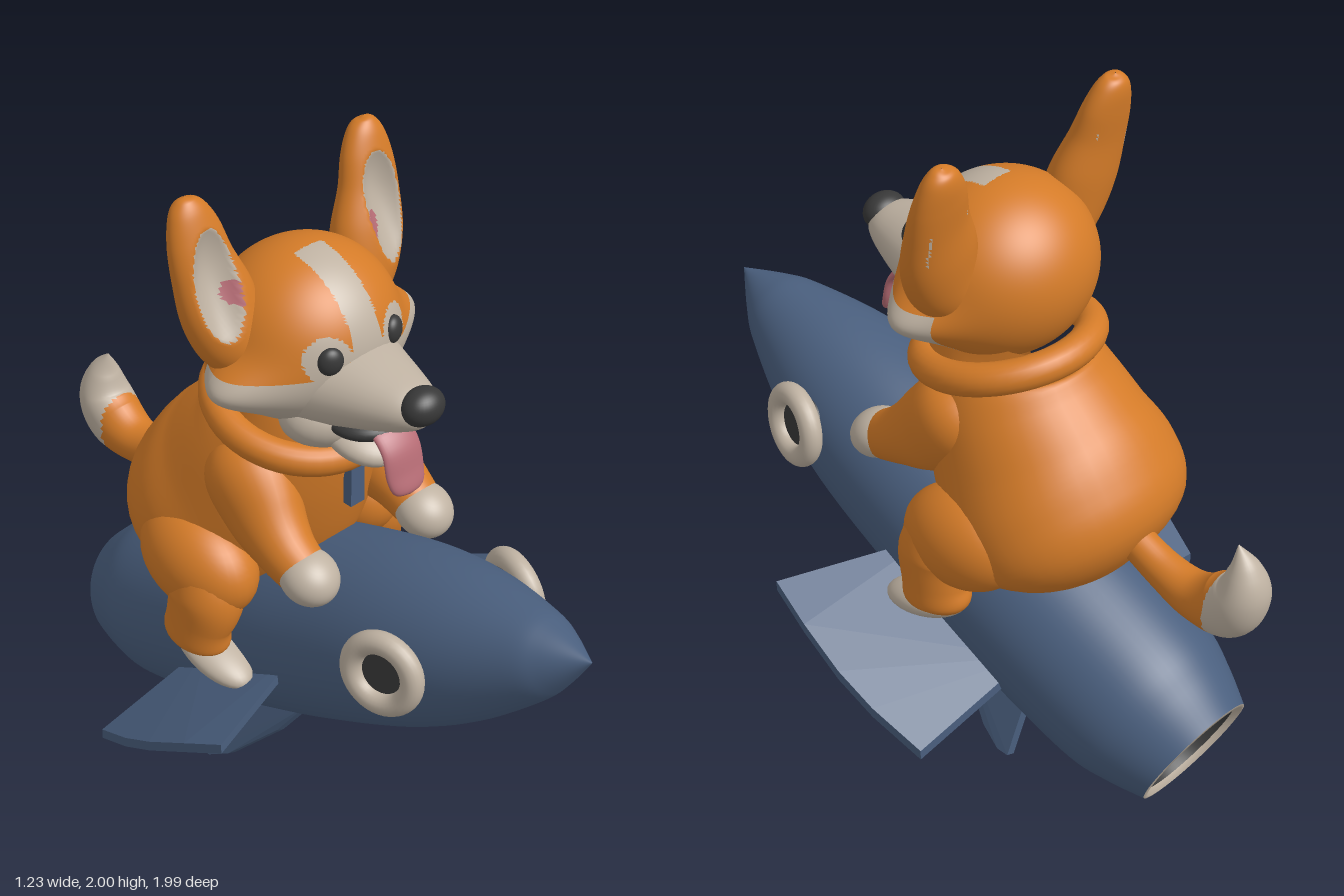
import * as THREE from 'three';
import { ConvexGeometry } from 'three/addons/geometries/ConvexGeometry.js';

const mat = (name, color) => Object.assign(new THREE.MeshStandardMaterial({ color }), { name });
const V = (x, y, z) => new THREE.Vector3(x, y, z);

// Smooth tube through sections [x, y, z, halfWidth, halfDepth]
function loft(sections, rings = 32, seg = 32) {
  const path = new THREE.CatmullRomCurve3(sections.map(s => V(s[0], s[1], s[2])), false, 'catmullrom');
  const size = new THREE.CatmullRomCurve3(sections.map(s => V(s[3], s[4], 0)), false, 'catmullrom');
  const pos = [], idx = [];
  for (let i = 0; i <= rings; i++) {
    const u = i / rings, c = path.getPoint(u), r = size.getPoint(u), t = path.getTangent(u);
    const across = V(1, 0, 0).addScaledVector(t, -t.x).normalize();
    const depth = t.clone().cross(across);
    for (let j = 0; j < seg; j++) {
      const a = j / seg * Math.PI * 2;
      const p = c.clone()
        .addScaledVector(across, Math.max(r.x, 0.001) * Math.cos(a))
        .addScaledVector(depth, Math.max(r.y, 0.001) * Math.sin(a));
      pos.push(p.x, p.y, p.z);
      if (i < rings) {
        const k = (j + 1) % seg, n = i * seg, m = n + seg;
        idx.push(n + j, n + k, m + j, n + k, m + k, m + j);
      }
    }
  }
  const g = new THREE.BufferGeometry();
  g.setAttribute('position', new THREE.Float32BufferAttribute(pos, 3));
  g.setIndex(idx);
  g.computeVertexNormals();
  return g;
}

// Moves every vertex by a rule
function warp(g, rule) {
  const p = g.attributes.position, v = V(0, 0, 0);
  for (let i = 0; i < p.count; i++) {
    rule(v.fromBufferAttribute(p, i));
    p.setXYZ(i, v.x, v.y, v.z);
  }
  g.computeVertexNormals();
  return g;
}

// Sorts faces into material groups by a rule on their centres
function paint(g, count, rule) {
  const p = g.attributes.position, old = g.index.array;
  const buckets = Array.from({ length: count }, () => []);
  for (let i = 0; i < old.length; i += 3) {
    const c = V(0, 0, 0);
    for (let k = 0; k < 3; k++) c.add(V(0, 0, 0).fromBufferAttribute(p, old[i + k]));
    buckets[rule(c.divideScalar(3))].push(old[i], old[i + 1], old[i + 2]);
  }
  g.setIndex(buckets.flat());
  let start = 0;
  buckets.forEach((b, i) => { g.addGroup(start, b.length, i); start += b.length; });
  return g;
}

export function createModel() {
  const root = new THREE.Group();
  const orange = mat('orange fur', 0xd47b28), cream = mat('cream', 0xbfb2a2);
  const blue = mat('rocket blue', 0x4a5f7e), dark = mat('charcoal', 0x383838);
  const pink = mat('pink', 0xb86d76);

  const add = (name, geo, material, parent = root) => {
    const m = new THREE.Mesh(geo, material);
    m.name = name;
    parent.add(m);
    return m;
  };
  const ball = (name, material, c, r, tilt = 0) => {
    const m = add(name, new THREE.SphereGeometry(1, 32, 24), material);
    m.position.set(...c);
    m.scale.set(...r);
    m.rotation.x = tilt;
    return m;
  };

  // Rocket hull, turned about its long axis with the nose at the top
  const rocket = new THREE.Group();
  rocket.name = 'rocket';
  rocket.position.set(0, 1, 1);
  rocket.rotation.x = Math.atan2(0.92, 0.391);
  root.add(rocket);
  const lathe = pts => new THREE.LatheGeometry(pts.map(([r, t]) => new THREE.Vector2(r, -t)), 64);
  const hullCurve = new THREE.SplineCurve([[0.19, 1.955], [0.232, 1.85], [0.265, 1.73], [0.28, 1.5], [0.284, 1.2],
    [0.28, 0.97], [0.258, 0.66], [0.21, 0.42], [0.13, 0.2], [0.08, 0.11], [0.001, 0]]
    .map(([r, t]) => new THREE.Vector2(r, -t)));
  add('hull', new THREE.LatheGeometry(hullCurve.getPoints(60), 64), blue, rocket);
  add('nozzleRim', lathe([[0.165, 1.94], [0.178, 1.957], [0.19, 1.955]]), cream, rocket);
  add('nozzleInside', lathe([[0.001, 1.75], [0.15, 1.75], [0.165, 1.94]]), dark, rocket);

  // Dog body, tail and collar
  add('body', loft([
    [0, 1.42, -0.13, 0.17, 0.17], [0, 1.3, -0.09, 0.21, 0.22], [0, 1.17, -0.12, 0.265, 0.255],
    [0, 1.02, -0.2, 0.31, 0.3], [0, 0.9, -0.29, 0.35, 0.31], [0, 0.8, -0.37, 0.33, 0.28],
    [0, 0.72, -0.42, 0.2, 0.14], [0, 0.68, -0.44, 0.001, 0.001]], 40, 40), orange);
  add('tail', paint(loft([
    [0, 0.87, -0.54, 0.05, 0.05], [0, 0.82, -0.66, 0.055, 0.055], [0, 0.8, -0.77, 0.068, 0.068],
    [0, 0.83, -0.87, 0.082, 0.09], [0, 0.9, -0.92, 0.08, 0.075], [0, 0.98, -0.92, 0.05, 0.045],
    [0, 1.05, -0.895, 0.001, 0.001]], 48), 2, c => c.z < -0.85 ? 1 : 0), [orange, cream]);
  const collar = add('collar', new THREE.TorusGeometry(0.228, 0.046, 20, 48), orange);
  collar.position.set(0, 1.285, -0.08);
  collar.rotation.x = Math.PI / 2 + 0.27;
  const tag = add('collarTag', new THREE.BoxGeometry(0.05, 0.13, 0.03), blue);
  tag.position.set(0, 1.12, 0.14);

  // Head: egg with flared cheek tufts, cream face, blaze and eye patches
  const head = warp(new THREE.SphereGeometry(1, 128, 96), v => {
    v.set(v.x * 0.27, 1.53 + v.y * 0.25, -0.055 + v.z * 0.25);
    v.x *= 1 + 0.38 * Math.exp(-(((v.y - 1.47) / 0.075) ** 2) - ((v.z / 0.13) ** 2));
  });
  add('head', paint(head, 2, c => {
    const x = Math.abs(c.x);
    const blaze = x < 0.05 && c.z > -0.04 && c.y > 1.5;
    const cheek = c.z > -0.1 && c.y < 1.52;
    const eyePatch = c.z > 0 && Math.hypot(x - 0.118, c.y - 1.57) < 0.062;
    return blaze || cheek || eyePatch ? 1 : 0;
  }), [orange, cream]);
  add('muzzle', loft([
    [0, 1.45, 0.06, 0.2, 0.14], [0, 1.455, 0.19, 0.15, 0.11], [0, 1.46, 0.29, 0.112, 0.083],
    [0, 1.465, 0.36, 0.08, 0.06], [0, 1.47, 0.4, 0.045, 0.035], [0, 1.47, 0.41, 0.001, 0.001]]), cream);
  ball('throat', cream, [0, 1.345, 0.07], [0.18, 0.1, 0.13]);
  ball('lowerJaw', cream, [0, 1.3, 0.17], [0.105, 0.05, 0.125], 0.3);
  ball('mouth', dark, [0, 1.36, 0.185], [0.115, 0.04, 0.11]);
  ball('nose', dark, [0, 1.485, 0.385], [0.066, 0.052, 0.052]);
  add('tongue', loft([
    [0, 1.36, 0.18, 0.06, 0.016], [0, 1.365, 0.26, 0.065, 0.018], [0, 1.32, 0.31, 0.066, 0.018],
    [0, 1.25, 0.33, 0.066, 0.02], [0, 1.205, 0.345, 0.05, 0.018], [0, 1.19, 0.35, 0.001, 0.001]]), pink);

  for (const s of [1, -1]) {
    const side = s > 0 ? 'left' : 'right';

    // Ear with a hollowed cream front and a pink spot
    const inEar = v => ((s * v.x - 0.298) / 0.066) ** 2 + ((v.y - 1.775) / 0.15) ** 2;
    const earFront = v => v.z > -0.085 - 0.17 * (v.y - 1.6);
    const ear = warp(loft([
      [s * 0.2, 1.54, -0.07, 0.09, 0.08], [s * 0.245, 1.62, -0.08, 0.11, 0.08],
      [s * 0.272, 1.71, -0.095, 0.115, 0.075], [s * 0.295, 1.81, -0.115, 0.098, 0.06],
      [s * 0.305, 1.9, -0.135, 0.082, 0.05], [s * 0.312, 1.96, -0.148, 0.058, 0.04],
      [s * 0.315, 1.99, -0.152, 0.032, 0.025], [s * 0.315, 2, -0.154, 0.001, 0.001]], 64, 64), v => {
      if (earFront(v)) v.z -= 0.05 * Math.max(0, 1 - inEar(v));
    });
    add(side + 'Ear', paint(ear, 3, c => {
      if (inEar(c) > 1 || c.z < -0.125 - 0.17 * (c.y - 1.6)) return 0;
      return Math.hypot(s * c.x - 0.25, c.y - 1.74) < 0.032 ? 2 : 1;
    }), [orange, cream, pink]);
    const eye = ball(side + 'Eye', dark, [s * 0.113, 1.567, 0.162], [0.037, 0.04, 0.026]);
    eye.rotation.y = s * 0.4;

    // Front leg and paw
    add(side + 'FrontLeg', loft([
      [s * 0.15, 1.2, -0.13, 0.08, 0.08], [s * 0.18, 1.14, -0.08, 0.125, 0.13],
      [s * 0.205, 1.05, 0.01, 0.105, 0.12], [s * 0.22, 0.99, 0.1, 0.085, 0.085],
      [s * 0.22, 0.95, 0.17, 0.074, 0.07]]), orange);
    ball(side + 'FrontPaw', cream, [s * 0.22, 0.945, 0.195], [0.083, 0.07, 0.088], 0.45);

    // Hind leg and foot
    ball(side + 'Thigh', orange, [s * 0.275, 0.83, -0.19], [0.135, 0.15, 0.2], 0.2);
    add(side + 'HindLeg', loft([
      [s * 0.3, 0.85, -0.14, 0.09, 0.1], [s * 0.315, 0.76, -0.12, 0.1, 0.115],
      [s * 0.335, 0.68, -0.13, 0.08, 0.105], [s * 0.335, 0.62, -0.14, 0.075, 0.1],
      [s * 0.335, 0.595, -0.14, 0.001, 0.001]]), orange);
    ball(side + 'HindFoot', cream, [s * 0.325, 0.58, -0.085], [0.075, 0.045, 0.145], 0.3);

    // Porthole ring and dark glass
    const porthole = new THREE.Group();
    porthole.name = side + 'Porthole';
    porthole.position.set(s * 0.258, 0.82, 0.51);
    porthole.quaternion.setFromUnitVectors(V(0, 0, 1), V(s, 0.1, 0.24).normalize());
    root.add(porthole);
    add('ring', new THREE.TorusGeometry(0.093, 0.033, 20, 40), cream, porthole);
    const glass = add('glass', new THREE.CylinderGeometry(0.08, 0.08, 0.06, 32), dark, porthole);
    glass.rotation.x = Math.PI / 2;
    glass.position.z = -0.028;

    // Fins: flat plates with a little thickness
    const plate = (name, pts, dx, dy) => add(name, new ConvexGeometry(pts.flatMap(([x, y, z]) =>
      [V(s * (x + dx), y + dy, z), V(s * (x - dx), y - dy, z)])), blue);
    plate(side + 'Wing', [[0.15, 0.36, -0.31], [0.57, 0.285, -0.3], [0.605, 0.37, -0.15], [0.617, 0.44, -0.03],
      [0.61, 0.52, 0.11], [0.59, 0.585, 0.24], [0.15, 0.57, 0.08]], 0, 0.016);
    plate(side + 'LowerFin', [[0.09, 0.33, 0.06], [0.125, 0.2, -0.03], [0.185, 0.05, -0.18], [0.2, 0.01, -0.25],
      [0.2, 0.01, -0.29], [0.09, 0.3, -0.3]], 0.014, 0.006);
  }
  return root;
}
